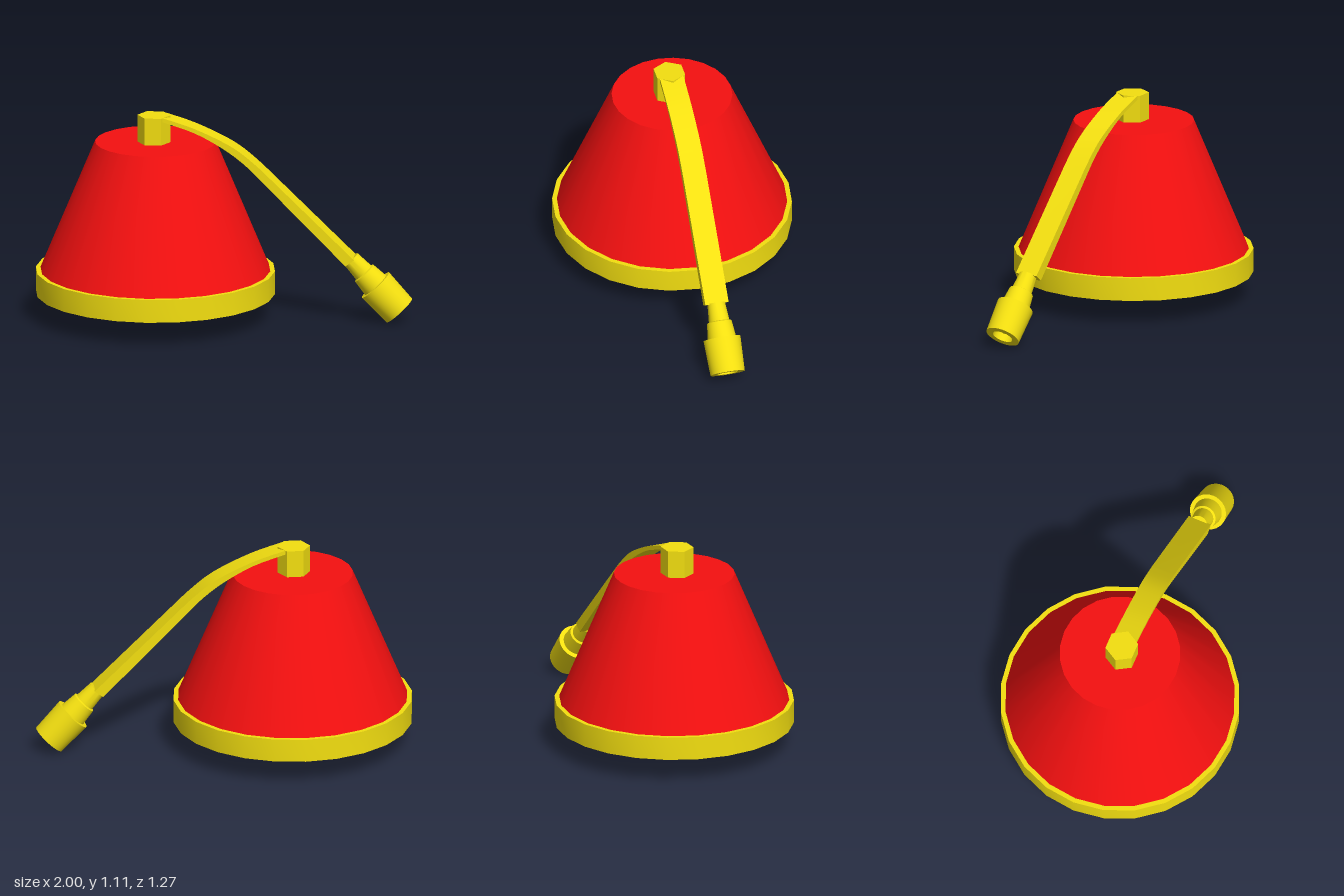
import * as THREE from 'three';
import { toCreasedNormals } from 'three/addons/utils/BufferGeometryUtils.js';

const CX = -0.365; // axis of the shade
const CZ = 0.013; // centre line of post, strap and plug

const red = new THREE.MeshStandardMaterial({ color: 0xf51010 });
const yellow = new THREE.MeshStandardMaterial({ color: 0xf3df10 });

function part(name, geometry, material, x = 0, y = 0, z = 0) {
  const mesh = new THREE.Mesh(geometry, material);
  mesh.name = name;
  mesh.position.set(x, y, z);
  return mesh;
}

const polar = (r, a) => new THREE.Vector2(r * Math.cos(a), r * Math.sin(a));

// Base ring: 24-sided outside, eight tapered teeth pointing inward
function ringGeometry() {
  const outer = [];
  for (let i = 0; i < 24; i++) outer.push(polar(0.635, (i * Math.PI) / 12));
  const inner = [];
  for (let i = 0; i < 8; i++) {
    const a = ((12.5 + 45 * i) * Math.PI) / 180;
    inner.push(polar(0.515, a - 0.126), polar(0.45, a - 0.09));
    inner.push(polar(0.45, a + 0.09), polar(0.515, a + 0.126));
    inner.push(polar(0.515, a + 0.3), polar(0.515, a + 0.48));
  }
  const shape = new THREE.Shape(outer);
  shape.holes.push(new THREE.Path(inner));
  const geo = new THREE.ExtrudeGeometry(shape, { depth: 0.125, bevelEnabled: false });
  return toCreasedNormals(geo.rotateX(-Math.PI / 2), 0.4);
}

// Flat strap: side outline between an upper and a lower curve
function strapGeometry() {
  const curve = (pts) =>
    new THREE.SplineCurve(pts.map(([x, y]) => new THREE.Vector2(x, y))).getPoints(16);
  const bend = {
    top: [[-0.32, 1.112], [-0.16, 1.06], [0, 0.987], [0.1, 0.925], [0.2, 0.84]],
    bottom: [[-0.32, 1.09], [-0.15, 1.032], [0, 0.95], [0.11, 0.868], [0.19, 0.79]],
  };
  const outline = [
    ...curve(bend.bottom),
    new THREE.Vector2(0.65, 0.32),
    new THREE.Vector2(0.695, 0.355),
    ...curve(bend.top).reverse(),
  ];
  const geo = new THREE.ExtrudeGeometry(new THREE.Shape(outline), { depth: 0.127, bevelEnabled: false });
  return toCreasedNormals(geo.translate(0, 0, -0.0635), 0.4);
}

// Plug: stepped barrel with a socket in its tip and a pin inside
function createPlug() {
  const plug = new THREE.Group();
  plug.name = 'plug';
  const profile = [
    [0, 0.08], [0.055, 0.08], [0.055, 0], [0.092, 0], [0.099, 0.187], [0.076, 0.187],
    [0.066, 0.275], [0.055, 0.28], [0.047, 0.377], [0, 0.377],
  ].map(([r, y]) => new THREE.Vector2(r, y));
  const barrel = toCreasedNormals(new THREE.LatheGeometry(profile, 32), 0.5);
  plug.add(part('plugBarrel', barrel, yellow));
  plug.add(part('plugPin', new THREE.CylinderGeometry(0.014, 0.014, 0.06, 16), yellow, 0, 0.055, 0));
  plug.position.set(0.932, 0.068, CZ);
  plug.rotation.z = 0.75;
  return plug;
}

export function createModel() {
  const model = new THREE.Group();
  model.name = 'shadeWithStrap';

  // Tapered shade and the floor closing it inside the ring
  model.add(part('shade', new THREE.CylinderGeometry(0.32, 0.61, 0.7, 24), red, CX, 0.615, 0));
  model.add(part('shadeFloor', new THREE.CylinderGeometry(0.53, 0.53, 0.07, 24), red, CX, 0.23, 0));
  model.add(part('baseRing', ringGeometry(), yellow, CX, 0.14, 0));

  // Hexagonal post with corners along x
  const post = new THREE.CylinderGeometry(0.0875, 0.0875, 0.147, 6).rotateY(Math.PI / 2);
  model.add(part('post', toCreasedNormals(post, 0.4), yellow, -0.372, 1.0385, CZ));

  model.add(part('strap', strapGeometry(), yellow, 0, 0, CZ));
  model.add(createPlug());
  return model;
}
